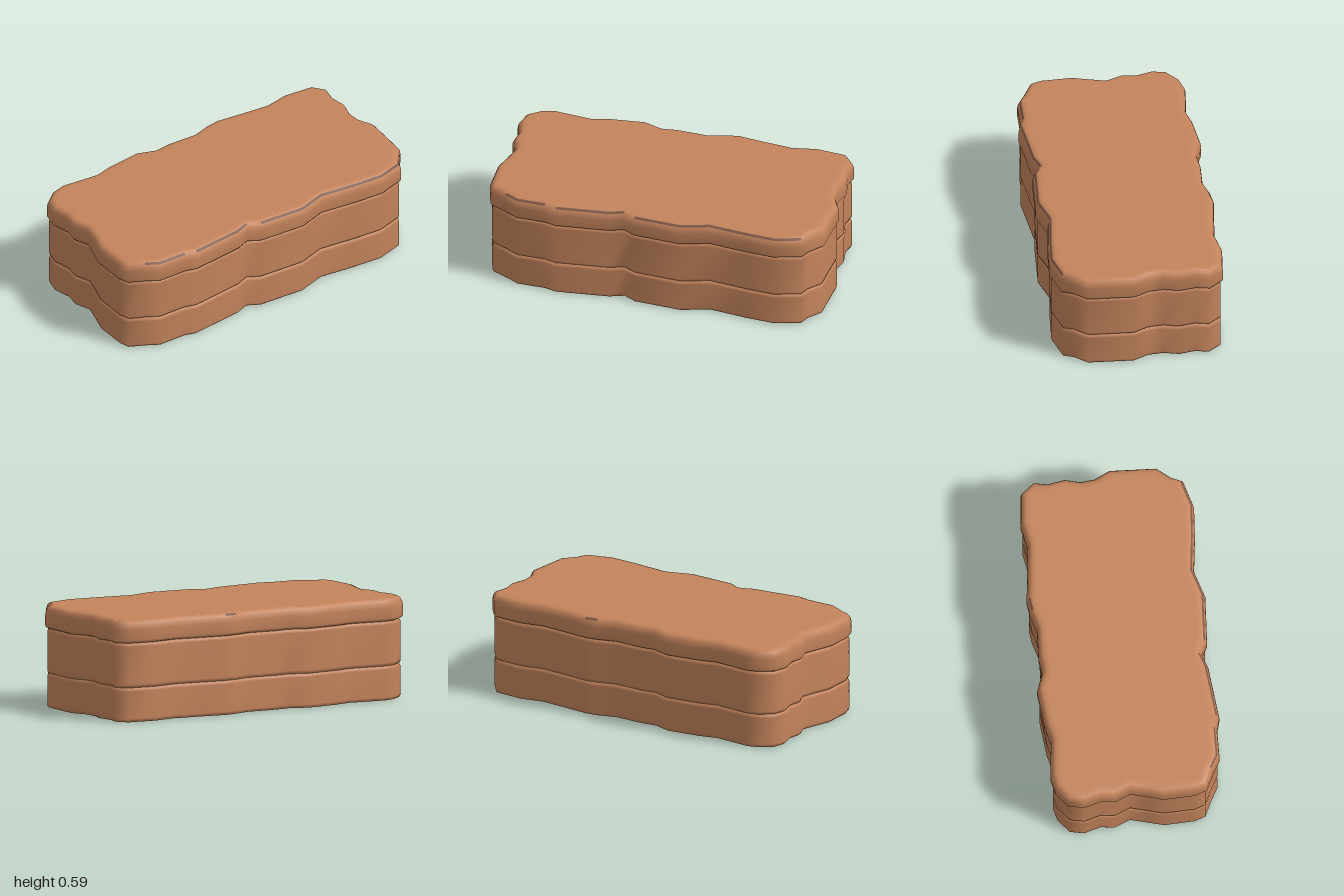
import * as THREE from 'three';

// Wavy outline [x, z], running along the front to +x, then round the back
const OUTLINE = [
  [-1, .14], [-.995, .32], [-.97, .39], [-.88, .435], [-.8, .48], [-.63, .485], [-.56, .505],
  [-.25, .475], [-.17, .445], [-.1, .485], [.18, .505], [.34, .457], [.55, .485], [.73, .5], [.89, .455],
  [.92, .39], [.985, .31], [1, .04], [.957, -.05], [.95, -.13], [.973, -.22], [.957, -.32],
  [.973, -.4], [.91, -.48], [.73, -.5], [.59, -.475], [.42, -.495], [.27, -.515], [.19, -.505],
  [.085, -.475], [-.09, -.485], [-.18, -.475], [-.29, -.515], [-.5, -.495], [-.6, -.47],
  [-.82, -.495], [-.9, -.475], [-.98, -.41], [-1, -.32], [-.973, -.22], [-.984, -.14],
  [-.947, -.05], [-.975, .05],
];
const N = OUTLINE.length;

// Outward direction at each outline point
const NORMALS = OUTLINE.map((_, i) => {
  const a = OUTLINE[(i + N - 1) % N], b = OUTLINE[(i + 1) % N];
  return new THREE.Vector2(a[1] - b[1], b[0] - a[0]).normalize();
});

// Shell through rows of [height, inset]; optional cap and accent faces
function shell(rows, { cap = false, isAccent = () => false } = {}) {
  const pos = [], plain = [], accent = [];
  for (const [y, inset] of rows) {
    OUTLINE.forEach(([x, z], i) => {
      pos.push(x - NORMALS[i].x * inset, y, z - NORMALS[i].y * inset);
    });
  }
  for (let j = 0; j < rows.length - 1; j++) {
    for (let i = 0; i < N; i++) {
      const k = (i + 1) % N;
      const a = j * N + i, b = j * N + k, c = b + N, d = a + N;
      (isAccent(j, i) ? accent : plain).push(a, b, c, a, c, d);
    }
  }
  if (cap) {
    const last = (rows.length - 1) * N, centre = rows.length * N;
    pos.push(0, rows[rows.length - 1][0], 0);
    for (let i = 0; i < N; i++) plain.push(last + i, last + (i + 1) % N, centre);
  }
  const geo = new THREE.BufferGeometry();
  geo.setAttribute('position', new THREE.Float32BufferAttribute(pos, 3));
  geo.setIndex([...plain, ...accent]);
  geo.addGroup(0, plain.length, 0);
  geo.addGroup(plain.length, accent.length, 1);
  geo.computeVertexNormals();
  return geo;
}

export function createModel() {
  const clay = new THREE.MeshStandardMaterial({ color: 0xc4845c, side: THREE.DoubleSide });
  clay.name = 'warm clay';
  const brown = new THREE.MeshStandardMaterial({ color: 0x7d5747, side: THREE.DoubleSide });
  brown.name = 'dull brown';

  const group = new THREE.Group();
  group.name = 'layeredBlock';
  const add = (name, geo) => {
    const mesh = new THREE.Mesh(geo, [clay, brown]);
    mesh.name = name;
    group.add(mesh);
  };

  // Two stacked wall bands with softly turned edges, open below
  const band = (y0, y1) => shell([
    [y0, .024], [y0 + .008, .016], [y0 + .02, .013], [y1 - .02, .013], [y1 - .008, .016], [y1, .024],
  ]);
  add('lowerBand', band(0, .198));
  add('upperBand', band(.198, .456));

  // Overhanging lid with a rounded rim and brown slivers along it
  const RIM = 5;
  const sliver = (j, i) => {
    if (j !== RIM) return false;
    const x = (OUTLINE[i][0] + OUTLINE[(i + 1) % N][0]) / 2;
    const front = i >= 3 && i <= 13 && i !== 5 && i !== 8;
    const back = OUTLINE[i][1] < -.5 && (Math.abs(x - .23) < .05);
    return front || back;
  };
  add('lid', shell([
    [.456, .024], [.463, .008], [.475, 0], [.535, 0], [.557, .004],
    [.573, .012], [.584, .022], [.589, .038], [.59, .06],
  ], { cap: true, isAccent: sliver }));

  return group;
}
